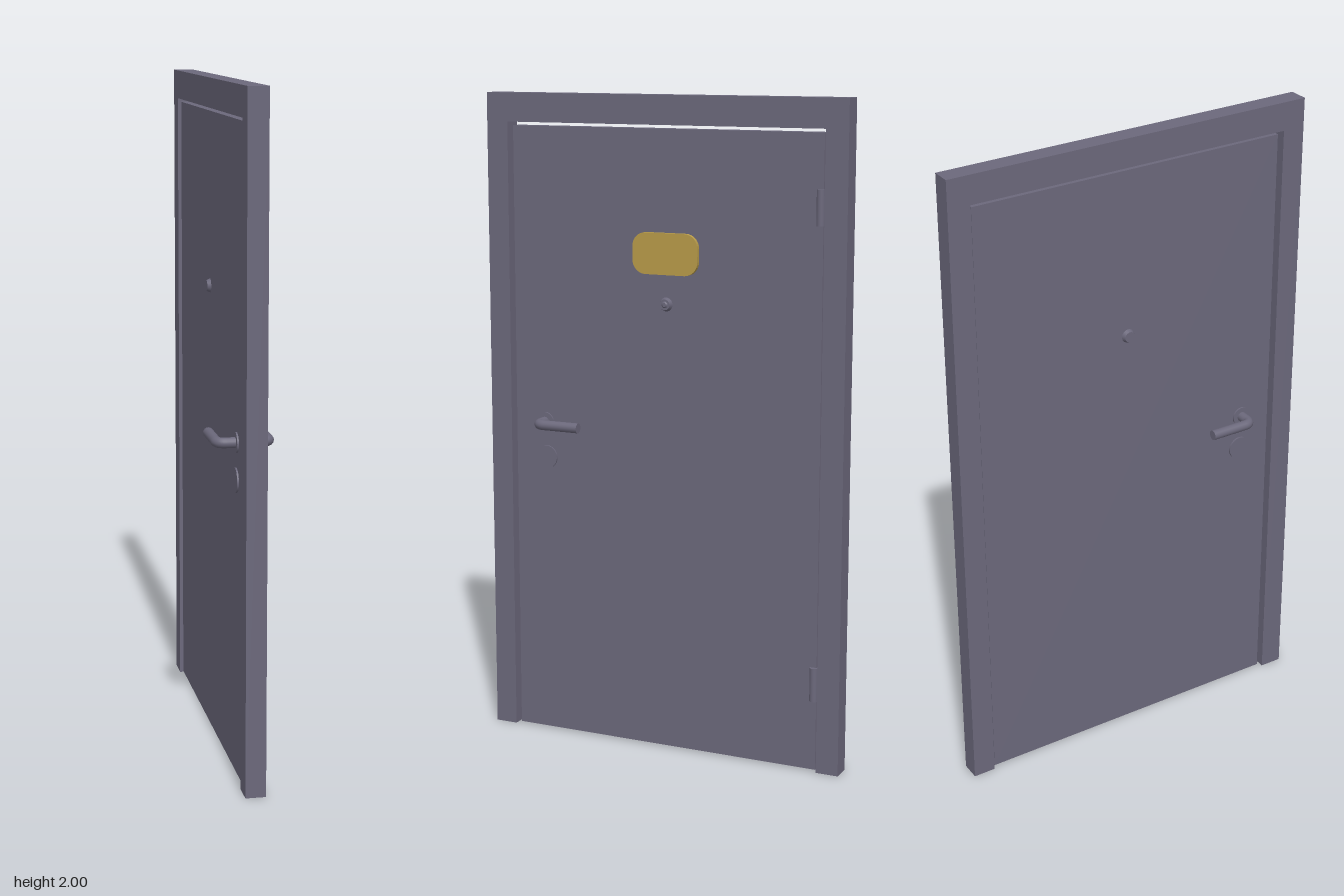
import * as THREE from 'three';

const steel = new THREE.MeshStandardMaterial({ color: 0x6b687b });
steel.name = 'slate grey';
const brass = new THREE.MeshStandardMaterial({ color: 0xb89b49 });
brass.name = 'brass';

const FRAME_X = 0.03, SLAB_X = 0.02, HALF_Z = 0.584;

function add(parent, name, geometry, material, x = 0, y = 0, z = 0) {
  const mesh = new THREE.Mesh(geometry, material);
  mesh.name = name;
  mesh.position.set(x, y, z);
  parent.add(mesh);
  return mesh;
}

// Profile drawn in (-z, y), extruded along x from x0 to x1
function extrudeX(shape, x0, x1) {
  const g = new THREE.ExtrudeGeometry(shape, { depth: x1 - x0, bevelEnabled: false, curveSegments: 4 });
  return g.rotateY(Math.PI / 2).translate(x0, 0, 0);
}

// Disc with its axis on x, spanning x0 to x1
function discX(radius, x0, x1, topRadius = radius) {
  const g = new THREE.CylinderGeometry(topRadius, radius, Math.abs(x1 - x0), 24);
  g.rotateZ(x1 > x0 ? -Math.PI / 2 : Math.PI / 2);
  return g.translate((x0 + x1) / 2, 0, 0);
}

// Lever: straight neck, rounded elbow, straight grip
function leverGeometry(side) {
  const v = (x, z) => new THREE.Vector3(side * x, 0, z);
  const path = new THREE.CurvePath();
  path.add(new THREE.LineCurve3(v(SLAB_X, 0.4), v(0.05, 0.4)));
  path.add(new THREE.QuadraticBezierCurve3(v(0.05, 0.4), v(0.076, 0.4), v(0.076, 0.374)));
  path.add(new THREE.LineCurve3(v(0.076, 0.374), v(0.076, 0.257)));
  return new THREE.TubeGeometry(path, 40, 0.0155, 16, false);
}

export function createModel() {
  const door = new THREE.Group();
  door.name = 'door';

  // Frame: two jambs and a lintel, open at the floor
  const s = new THREE.Shape();
  [[-HALF_Z, 0], [-0.514, 0], [-0.514, 1.913], [0.514, 1.913], [0.514, 0],
    [HALF_Z, 0], [HALF_Z, 2], [-HALF_Z, 2]].forEach(([a, b], i) => (i ? s.lineTo(a, b) : s.moveTo(a, b)));
  add(door, 'frame', extrudeX(s, -FRAME_X, FRAME_X), steel);

  // Slab, recessed on both faces
  add(door, 'slab', new THREE.BoxGeometry(SLAB_X * 2, 1.897, 1.008), steel, 0, 0.9535, -0.004);

  // Hinge barrels
  for (const y of [0.273, 1.69]) {
    add(door, 'hinge', new THREE.CylinderGeometry(0.0125, 0.0125, 0.104, 16), steel, 0.0215, y, -0.5);
  }

  // Brass plate with rounded corners
  const w = 0.106, h = 0.062, r = 0.042;
  const p = new THREE.Shape();
  p.moveTo(-w + r, -h);
  p.lineTo(w - r, -h);
  p.absarc(w - r, -h + r, r, -Math.PI / 2, 0);
  p.lineTo(w, h - r);
  p.absarc(w - r, h - r, r, 0, Math.PI / 2);
  p.lineTo(-w + r, h);
  p.absarc(-w + r, h - r, r, Math.PI / 2, Math.PI);
  p.lineTo(-w, -h + r);
  p.absarc(-w + r, -h + r, r, Math.PI, Math.PI * 1.5);
  add(door, 'namePlate', extrudeX(p, SLAB_X, 0.033), brass, 0, 1.536, -0.014);

  // Fittings repeated on both faces
  for (const side of [1, -1]) {
    const at = (x) => side * x;
    add(door, 'peepholeRim', discX(0.021, at(SLAB_X), at(0.031), 0.016), steel, 0, 1.385, -0.013);
    if (side > 0) add(door, 'peepholeLens', discX(0.01, at(0.031), at(0.034), 0.006), steel, 0, 1.385, -0.013);
    add(door, 'handleRosette', discX(0.03, at(SLAB_X), at(0.025)), steel, 0, 0.996, 0.4);
    add(door, 'lockCover', discX(0.036, at(SLAB_X), at(0.025)), steel, 0, 0.885, 0.395);
    add(door, 'lever', leverGeometry(side), steel, 0, 0.996, 0);
    // Flat end of the grip
    const cap = add(door, 'leverEnd', new THREE.CircleGeometry(0.0155, 16), steel, at(0.076), 0.996, 0.257);
    cap.rotation.y = Math.PI;
  }
  return door;
}
